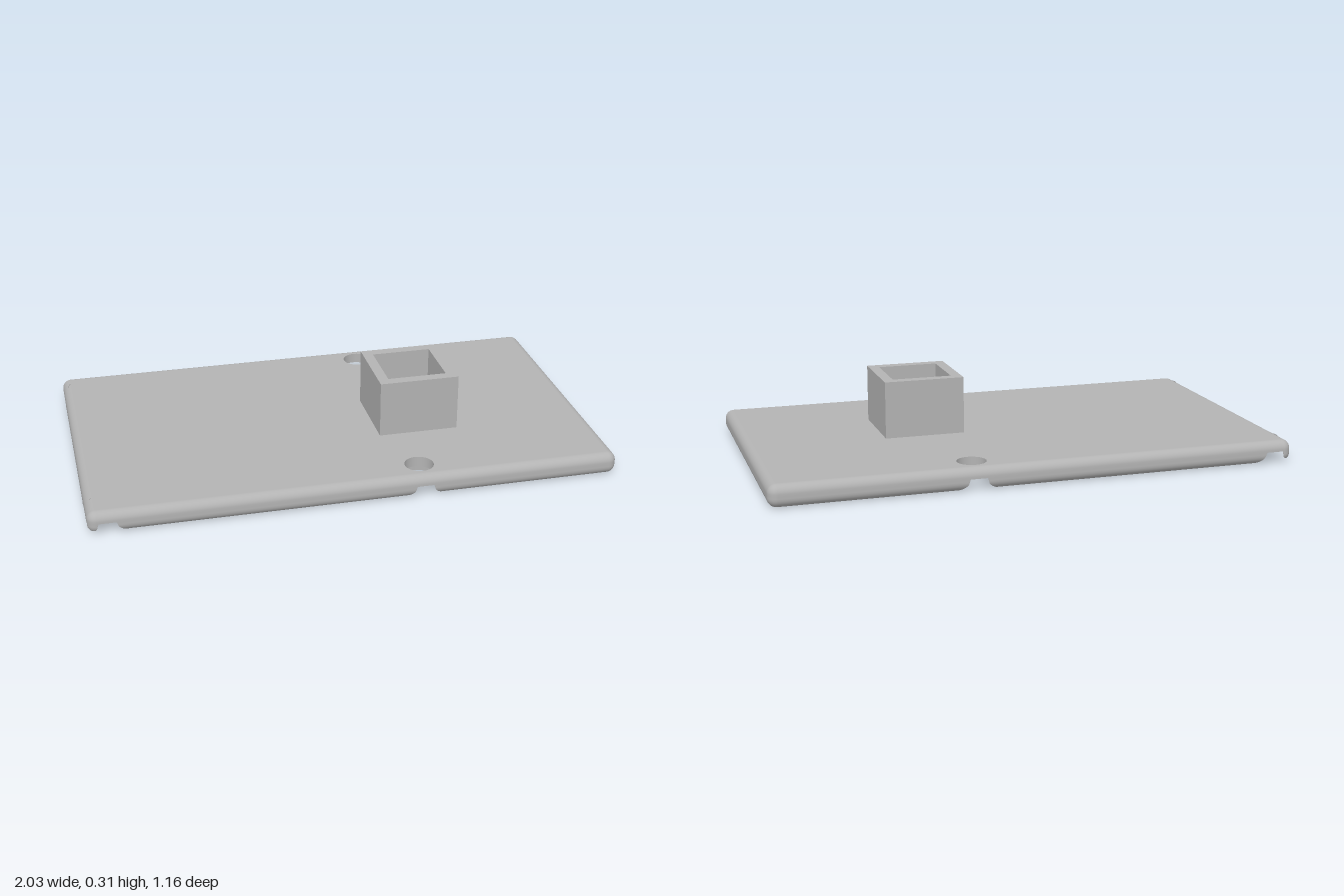
import * as THREE from 'three';

const HX = 1, HZ = 0.575, H = 0.085, RAD = 0.034;        // plate half sizes, height, edge rounding
const IX = HX - RAD, IZ = HZ - RAD;                      // flat area inside the rounding
const HOLE = 0.055, BORE = 0.105, BORE_Y = 0.045;        // screw hole, counterbore, bore depth
const CX = [-0.925, 0.245], CZ = 0.476;
const SCREWS = CX.flatMap((x) => [[x, -CZ], [x, CZ]]);
const SOCKET = [0.316, 0.07];

// depth of a point inside the rounded outline (negative outside)
function depth(x, z) {
  const a = Math.abs(x) - IX, b = Math.abs(z) - IZ;
  return RAD - Math.hypot(Math.max(a, 0), Math.max(b, 0)) - Math.min(Math.max(a, b), 0);
}
const widthAt = (y) => {
  const e = y < RAD ? RAD - y : y > H - RAD ? H - RAD - y : 0;
  return [Math.sqrt(Math.max(RAD * RAD - e * e, 0)), e];
};
// height of the rounded underside at a given width
const underside = (w) => RAD - Math.sqrt(Math.max(RAD * RAD - w * w, 0));

// grid surface from fn(i, j) -> [x, y, z, nx, ny, nz]
function grid(cols, rows, fn) {
  const pos = [], nor = [], idx = [];
  for (let i = 0; i <= cols; i++) for (let j = 0; j <= rows; j++) {
    const v = fn(i, j);
    pos.push(v[0], v[1], v[2]);
    nor.push(v[3], v[4], v[5]);
    if (i < cols && j < rows) {
      const a = i * (rows + 1) + j, b = a + rows + 1;
      idx.push(a, a + 1, b, b, a + 1, b + 1);
    }
  }
  const g = new THREE.BufferGeometry();
  g.setAttribute('position', new THREE.Float32BufferAttribute(pos, 3));
  g.setAttribute('normal', new THREE.Float32BufferAttribute(nor, 3));
  g.setIndex(idx);
  return g;
}

// perimeter columns: base point on the inner rectangle and outward direction
function perimeter() {
  const cols = [];
  const corners = [[IX, IZ], [-IX, IZ], [-IX, -IZ], [IX, -IZ]];
  corners.forEach(([x, z], k) => {
    const [x2, z2] = corners[(k + 1) % 4];
    for (let i = 0; i <= 24; i++) {
      const a = (k + i / 24) * Math.PI / 2;
      cols.push([x, z, Math.cos(a), Math.sin(a)]);
    }
    const n = k % 2 ? 160 : 300, a = (k + 1) * Math.PI / 2;
    for (let i = 1; i < n; i++) {
      const t = i / n;
      cols.push([x + (x2 - x) * t, z + (z2 - z) * t, Math.cos(a), Math.sin(a)]);
    }
  });
  cols.push(cols[0]);
  return cols;
}

// rounded rim, cut away where the counterbores break through it
function rimGeometry() {
  const cols = perimeter(), N = 8;
  const start = cols.map(([x, z, nx, nz]) => {
    const inBore = (w) => SCREWS.some(([cx, cz]) => Math.hypot(x + nx * w - cx, z + nz * w - cz) < BORE);
    if (!inBore(0)) return 0;
    if (inBore(RAD)) return BORE_Y;
    let lo = 0, hi = RAD;
    for (let k = 0; k < 25; k++) {
      const m = (lo + hi) / 2;
      if (inBore(m)) lo = m; else hi = m;
    }
    return underside(hi);
  });
  return grid(cols.length - 1, 2 * N, (i, j) => {
    const [x, z, nx, nz] = cols[i];
    const y = j <= N
      ? start[i] + (BORE_Y - start[i]) * (1 - Math.cos(j / N * Math.PI / 2))
      : BORE_Y + (H - BORE_Y) * Math.sin((j - N) / N * Math.PI / 2);
    const [w, e] = widthAt(y);
    return [x + nx * w, y, z + nz * w, nx * w / RAD, -e / RAD, nz * w / RAD];
  });
}

// inward-facing cylinder wall; bottom(x, z) gives the lower edge
function boreWall(cx, cz, r, top, bottom, n = 48) {
  return grid(n, 1, (i, j) => {
    const a = -i / n * Math.PI * 2, c = Math.cos(a), s = Math.sin(a);
    const x = cx + c * r, z = cz + s * r;
    return [x, j ? top : bottom(x, z), z, -c, 0, -s];
  });
}
function boreBottom(x, z) {
  const d = depth(x, z);
  return d <= 0 ? BORE_Y : d >= RAD ? 0 : underside(RAD - d);
}

// downward-facing ring inside a counterbore, trimmed by the plate outline
function boreCeiling(cx, cz) {
  const n = 120;
  return grid(n, 1, (i, j) => {
    const a = -i / n * Math.PI * 2, c = Math.cos(a), s = Math.sin(a);
    let r = HOLE;
    if (!j) {
      let hi = BORE;
      if (depth(cx + c * hi, cz + s * hi) >= 0) r = hi;
      else for (let k = 0; k < 25; k++) {
        const m = (r + hi) / 2;
        if (depth(cx + c * m, cz + s * m) >= 0) r = m; else hi = m;
      }
    }
    return [cx + c * r, BORE_Y, cz + s * r, 0, -1, 0];
  });
}

function rect(P, x0, y0, x1, y1) {
  const p = new P();
  p.moveTo(x0, y0); p.lineTo(x1, y0); p.lineTo(x1, y1); p.lineTo(x0, y1); p.closePath();
  return p;
}
const circle = (x, y, r) => new THREE.Path().absarc(x, y, r, 0, Math.PI * 2, true);

// flat top with all through holes
function topGeometry() {
  const s = rect(THREE.Shape, -IX, -IZ, IX, IZ);
  SCREWS.forEach(([x, z]) => s.holes.push(circle(x, -z, HOLE)));
  s.holes.push(circle(SOCKET[0], -SOCKET[1], 0.075));
  return new THREE.ShapeGeometry(s, 24).rotateX(-Math.PI / 2).translate(0, H, 0);
}

// flat underside bitten by the four counterbores
function bottomGeometry() {
  const dz = IZ - CZ, dx = IX + CX[0], PI = Math.PI;
  const h = Math.sqrt(BORE ** 2 - dz ** 2), v = Math.sqrt(BORE ** 2 - dx ** 2);
  const a = Math.atan2(dz, h), b = Math.atan2(v, -dx);
  const s = new THREE.Shape();
  s.moveTo(IX, -IZ);
  s.lineTo(IX, IZ);
  s.absarc(CX[1], CZ, BORE, a, PI - a, true);
  s.absarc(CX[0], CZ, BORE, a, -b, true);
  s.absarc(CX[0], -CZ, BORE, b, -a, true);
  s.absarc(CX[1], -CZ, BORE, PI + a, -a, true);
  s.closePath();
  s.holes.push(circle(SOCKET[0], SOCKET[1], 0.075));
  return new THREE.ShapeGeometry(s, 24).rotateX(PI / 2);
}

export function createModel() {
  const model = new THREE.Group();
  const grey = new THREE.MeshStandardMaterial({ color: 0xb3b3b3 });
  grey.name = 'grey';
  const add = (name, geometry, parent = model) => {
    const m = new THREE.Mesh(geometry, grey);
    m.name = name;
    parent.add(m);
  };

  // base plate
  const plate = new THREE.Group();
  plate.name = 'basePlate';
  model.add(plate);
  add('plateRim', rimGeometry(), plate);
  add('plateTop', topGeometry(), plate);
  add('plateUnderside', bottomGeometry(), plate);
  add('socketDrainHole', boreWall(...SOCKET, 0.075, H, () => 0), plate);

  // counterbored screw holes
  SCREWS.forEach(([x, z]) => {
    const g = new THREE.Group();
    g.name = 'screwHole';
    plate.add(g);
    add('holeWall', boreWall(x, z, HOLE, H, () => BORE_Y), g);
    add('counterboreWall', boreWall(x, z, BORE, BORE_Y, boreBottom, 160), g);
    add('counterboreCeiling', boreCeiling(x, z), g);
  });

  // square socket
  const s = rect(THREE.Shape, -0.155, -0.155, 0.155, 0.155);
  s.holes.push(rect(THREE.Path, -0.115, -0.115, 0.115, 0.115));
  const socket = new THREE.ExtrudeGeometry(s, { depth: 0.22, bevelEnabled: false });
  add('squareSocket', socket.rotateX(-Math.PI / 2).translate(SOCKET[0], H, SOCKET[1]));
  return model;
}
